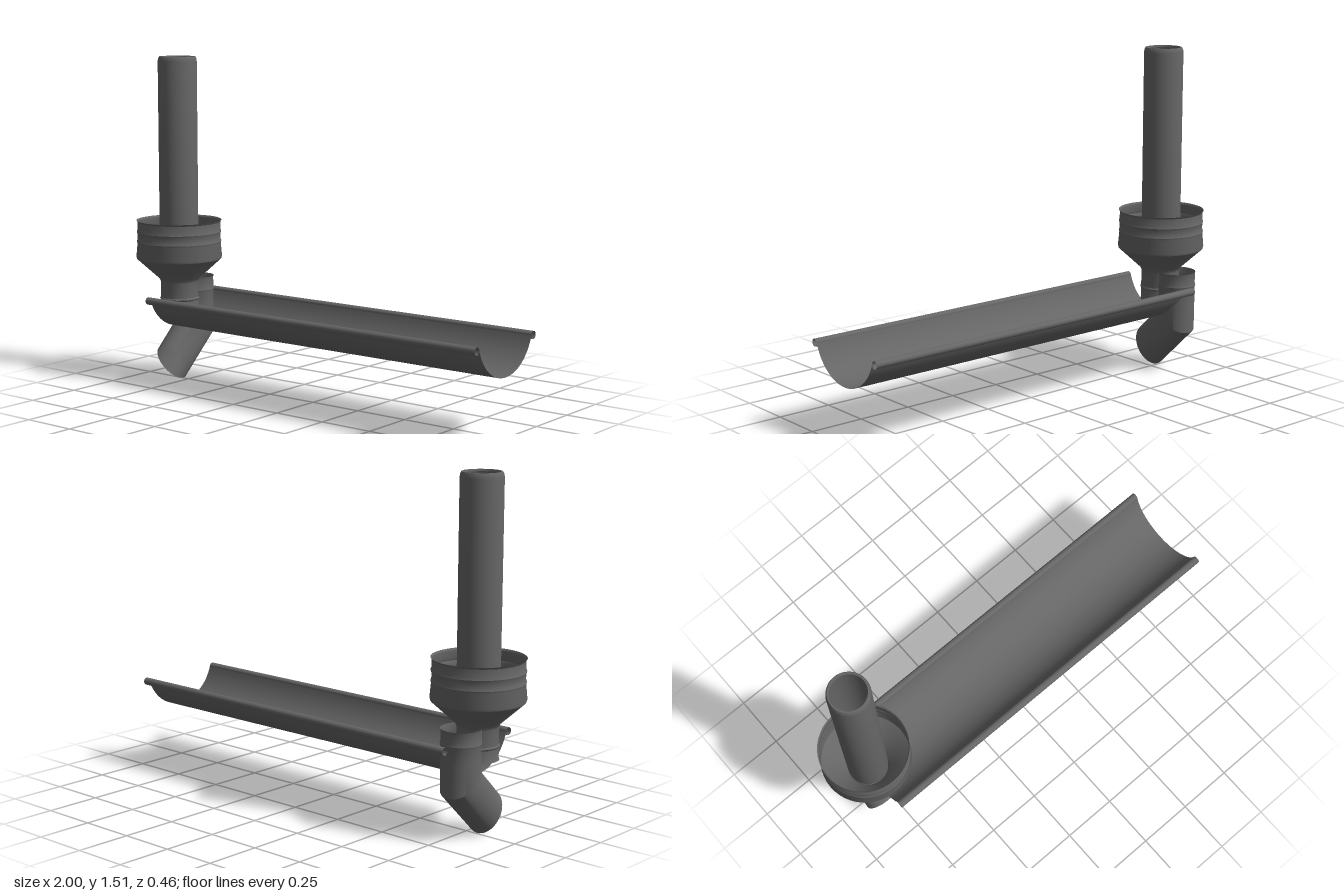
import * as THREE from 'three';
import { toCreasedNormals } from 'three/addons/utils/BufferGeometryUtils.js';

const metal = new THREE.MeshStandardMaterial({ color: 0x666666, side: THREE.DoubleSide });
metal.name = 'grey metal';

const PIPE_X = -0.8;

// Joins a list of point loops or strips into a sheet-metal skin.
function loft(rings) {
  const n = rings[0].length;
  const index = [];
  for (let r = 0; r < rings.length - 1; r++) {
    for (let i = 0; i < n - 1; i++) {
      const a = r * n + i, b = a + n;
      index.push(a, b, a + 1, a + 1, b, b + 1);
    }
  }
  const geometry = new THREE.BufferGeometry().setFromPoints(rings.flat());
  geometry.setIndex(index);
  return geometry;
}

function sheet(name, geometry) {
  geometry.deleteAttribute('uv');
  const mesh = new THREE.Mesh(toCreasedNormals(geometry, 0.45), metal);
  mesh.name = name;
  return mesh;
}

// Open turned part around the vertical pipe axis; profile is [radius, y].
function turned(name, profile) {
  const points = profile.map(([r, y]) => new THREE.Vector2(r, y));
  const mesh = sheet(name, new THREE.LatheGeometry(points, 48));
  mesh.position.x = PIPE_X;
  return mesh;
}

// Elbow ring given by its front and back edge points, [z, y].
function elbowRing([z1, y1], [z2, y2], halfWidth) {
  const ring = [];
  for (let i = 0; i <= 40; i++) {
    const a = (i / 40) * Math.PI * 2, t = (1 - Math.cos(a)) / 2;
    ring.push(new THREE.Vector3(
      PIPE_X + halfWidth * Math.sin(a), y1 + (y2 - y1) * t, z1 + (z2 - z1) * t));
  }
  return ring;
}

export function createModel() {
  const model = new THREE.Group();
  model.name = 'gutterAndDownpipe';

  // Tall downpipe with a drawn-in rim
  model.add(turned('downpipe', [
    [0.088, 0.48], [0.09, 0.5], [0.09, 1.495], [0.088, 1.508], [0.083, 1.517], [0.077, 1.517], [0.075, 1.508],
  ]));

  // Funnel with shallow ribs, cone and neck
  model.add(turned('funnel', [
    [0.091, 0.33], [0.088, 0.337], [0.088, 0.383], [0.092, 0.39], [0.088, 0.397],
    [0.088, 0.47], [0.095, 0.485], [0.197, 0.578], [0.2, 0.588], [0.194, 0.65],
    [0.197, 0.66], [0.193, 0.67], [0.193, 0.695], [0.197, 0.705], [0.193, 0.715],
    [0.193, 0.75], [0.198, 0.758],
  ]));

  // Mitred elbow behind the neck, kicking forward
  const straight = (y, r) => elbowRing([-0.11 + r, y], [-0.11 - r, y], r);
  model.add(sheet('elbow', loft([
    straight(0.482, 0.086), straight(0.475, 0.084), straight(0.43, 0.084),
    straight(0.42, 0.087), straight(0.41, 0.084), straight(0.35, 0.084),
    elbowRing([-0.018, 0.296], [-0.195, 0.2], 0.083),
    elbowRing([0.108, 0.172], [0.008, 0.006], 0.082),
  ])));

  // Open gutter trough: a circular arc from edge to edge
  const trough = [];
  const R = 0.206, centreY = 0.466, half = Math.asin(0.197 / R);
  for (let i = 0; i <= 32; i++) {
    const a = -half + (2 * half * i) / 32;
    trough.push([R * Math.sin(a), centreY - R * Math.cos(a)]);
  }
  const run = (profile) => loft([PIPE_X, 1].map((x) =>
    profile.map(([z, y]) => new THREE.Vector3(x, y, z))));
  model.add(sheet('gutterTrough', run(trough)));

  // Rolled beads along both gutter edges
  for (const side of [1, -1]) {
    const bead = [];
    for (let i = 0; i <= 20; i++) {
      const a = (i / 20) * Math.PI * 2;
      bead.push([side * (0.213 - 0.017 * Math.cos(a)), 0.403 + 0.017 * Math.sin(a)]);
    }
    model.add(sheet(side > 0 ? 'frontBead' : 'backBead', run(bead)));
  }
  return model;
}
